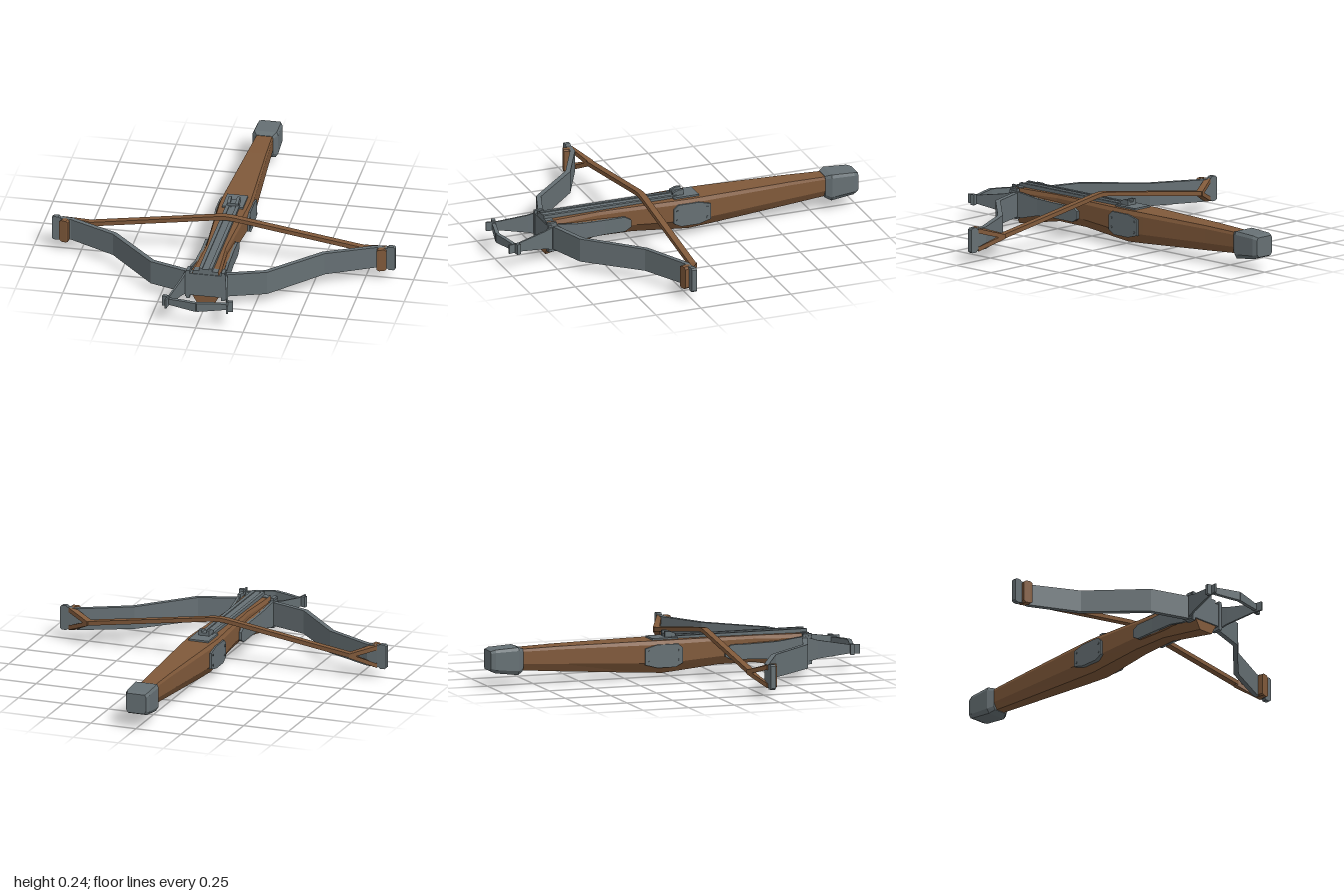
import * as THREE from 'three';

const steel = new THREE.MeshStandardMaterial({ color: 0x667074 });
steel.name = 'steel';
const wood = new THREE.MeshStandardMaterial({ color: 0x80593a });
wood.name = 'wood';

// Solid skinned over rings of equal point count, with closed ends and flat faces
function skin(rings) {
  const tris = [], n = rings[0].length, last = rings.length - 1;
  for (let i = 0; i < last; i++) {
    for (let j = 0; j < n; j++) {
      const k = (j + 1) % n;
      const a = rings[i][j], b = rings[i][k], c = rings[i + 1][k], d = rings[i + 1][j];
      tris.push([a, b, c], [a, c, d]);
    }
  }
  for (let j = 1; j < n - 1; j++) {
    tris.push([rings[0][0], rings[0][j + 1], rings[0][j]]);
    tris.push([rings[last][0], rings[last][j], rings[last][j + 1]]);
  }
  // Turn the faces outward whichever way the rings run
  const o = rings[0][0], v = new THREE.Vector3();
  let volume = 0;
  for (const [a, b, c] of tris) {
    const p = a.clone().sub(o), q = b.clone().sub(o), r = c.clone().sub(o);
    volume += p.dot(v.crossVectors(q, r));
  }
  const points = tris.flatMap(([a, b, c]) => (volume < 0 ? [a, c, b] : [a, b, c]));
  const geo = new THREE.BufferGeometry().setFromPoints(points);
  geo.computeVertexNormals();
  return geo;
}

// Upright strap following [x, z, yLow, yHigh] points, of a given thickness
function strap(path, thickness, side = 1) {
  const pts = path.map(([x, z]) => new THREE.Vector2(x * side, z));
  return skin(path.map(([, , lo, hi], i) => {
    const p = pts[i];
    const before = p.clone().sub(pts[Math.max(i - 1, 0)]).normalize();
    const after = pts[Math.min(i + 1, pts.length - 1)].clone().sub(p).normalize();
    const t = before.add(after).normalize();
    const nx = -t.y * thickness / 2, nz = t.x * thickness / 2;
    return [[1, lo], [1, hi], [-1, hi], [-1, lo]].map(([s, y]) =>
      new THREE.Vector3(p.x + s * nx, y, p.y + s * nz));
  }));
}

// Beam along z from [z, halfWidth, yLow, yHigh] sections with chamfered corners
function beam(sections, topCut, lowCut) {
  return skin(sections.map(([z, w, lo, hi]) => {
    const h = hi - lo, a = topCut, b = lowCut;
    return [
      [w * (1 - a), hi], [w, hi - h * a], [w, lo + h * b], [w * (1 - b * 1.4), lo],
      [-w * (1 - b * 1.4), lo], [-w, lo + h * b], [-w, hi - h * a], [-w * (1 - a), hi],
    ].map(([x, y]) => new THREE.Vector3(x, y, z));
  }));
}

// Flat side plate: [z, y] outline between two x positions
function sidePlate(outline, x0, x1) {
  return skin([x0, x1].map(x => outline.map(([z, y]) => new THREE.Vector3(x, y, z))));
}

export function createModel() {
  const model = new THREE.Group();
  model.name = 'crossbow';
  const add = (name, geo, mat) => {
    const mesh = new THREE.Mesh(geo, mat);
    mesh.name = name;
    model.add(mesh);
    return mesh;
  };
  const box = (name, mat, w, h, d, x, y, z) =>
    add(name, new THREE.BoxGeometry(w, h, d), mat).position.set(x, y, z);

  // Wooden stock, with a flared underside at the front
  add('stock', beam([
    [0.735, 0.075, 0.002, 0.195], [0.45, 0.058, 0.055, 0.198], [0.25, 0.07, 0.055, 0.2],
    [0, 0.085, 0.033, 0.202], [-0.06, 0.087, 0.028, 0.202], [-0.2, 0.08, 0.036, 0.202],
    [-0.62, 0.056, 0.064, 0.198], [-0.84, 0.045, 0.08, 0.192],
  ], 0.12, 0.32), wood);

  // Butt cap
  add('buttCap', beam([
    [-0.82, 0.047, 0.075, 0.195], [-0.85, 0.067, 0.06, 0.205],
    [-0.975, 0.065, 0.075, 0.198], [-1, 0.055, 0.086, 0.19],
  ], 0.12, 0.15), steel);

  // Bolt rail with a groove between two lips
  box('boltRail', steel, 0.07, 0.02, 0.76, 0, 0.2, 0.36);
  for (const s of [-1, 1]) box('railLip', steel, 0.018, 0.008, 0.74, s * 0.026, 0.211, 0.37);

  // Lock: base plate, nut and two ears
  box('lockPlate', steel, 0.11, 0.012, 0.14, 0, 0.205, -0.045);
  box('lockNut', steel, 0.028, 0.02, 0.05, 0, 0.215, -0.01);
  for (const s of [-1, 1]) {
    add('lockEar', sidePlate([[0.02, 0.208], [0.02, 0.228], [-0.01, 0.24], [-0.038, 0.24], [-0.038, 0.208]],
      s * 0.014, s * 0.03), steel);
  }

  // Front bracket that holds the bow
  box('bracketFace', steel, 0.17, 0.125, 0.02, 0, 0.118, 0.733);
  box('bracketTop', steel, 0.13, 0.018, 0.04, 0, 0.19, 0.72);

  for (const s of [-1, 1]) {
    // Bow limb and its tip
    add('bowLimb', strap([
      [0, 0.72, 0.06, 0.175], [0.1, 0.705, 0.052, 0.178], [0.3, 0.637, 0.052, 0.178], [0.55, 0.375, 0.058, 0.178],
      [0.8, 0.25, 0.06, 0.176], [0.88, 0.248, 0.06, 0.176],
    ], 0.026, s), steel);
    add('bowTip', strap([
      [0.855, 0.248, 0.065, 0.17], [0.87, 0.248, 0.052, 0.184],
      [0.895, 0.248, 0.052, 0.184], [0.905, 0.248, 0.06, 0.176],
    ], 0.026, s), steel);

    // String half, split into two strands that loop around the limb
    add('string', strap([
      [0, 0.186, 0.222, 0.244], [0.04, 0.186, 0.219, 0.241], [0.73, 0.186, 0.113, 0.136],
    ], 0.034, s), wood);
    for (const [lo, hi] of [[0.152, 0.176], [0.056, 0.08]]) {
      add('stringLoop', strap([
        [0.72, 0.18, 0.113, 0.136], [0.84, 0.238, lo, hi], [0.83, 0.272, lo, hi],
      ], 0.034, s), wood);
    }
    add('stringWrap', strap([
      [0.812, 0.278, 0.062, 0.17], [0.822, 0.277, 0.055, 0.177],
      [0.848, 0.27, 0.055, 0.177], [0.86, 0.267, 0.065, 0.167],
    ], 0.03, s), wood);

    // Long tapered cheek strap on the front of the stock
    add('cheekStrap', strap([
      [0.1, 0.742, 0.045, 0.19], [0.092, 0.66, 0.05, 0.18], [0.083, 0.56, 0.075, 0.165],
      [0.078, 0.42, 0.08, 0.16], [0.079, 0.31, 0.08, 0.16], [0.079, 0.275, 0.1, 0.14],
    ], 0.014, s), steel);
    add('cheekFiller', strap([
      [0.072, 0.72, 0.06, 0.175], [0.062, 0.55, 0.08, 0.165], [0.07, 0.3, 0.085, 0.155],
    ], 0.026, s), wood);
    box('bracketPost', steel, 0.018, 0.16, 0.05, s * 0.092, 0.118, 0.72);

    // Stirrup arm and half of the foot bar
    add('stirrupArm', strap([
      [0.108, 0.725, 0.055, 0.178], [0.117, 0.77, 0.068, 0.165],
      [0.152, 0.925, 0.092, 0.14], [0.163, 0.985, 0.092, 0.14],
    ], 0.01, s), steel);
    add('stirrupBar', strap([
      [0, 0.985, 0.093, 0.14], [0.06, 0.969, 0.095, 0.138], [0.15, 0.946, 0.1, 0.132],
      [0.16, 0.943, 0.088, 0.144], [0.184, 0.937, 0.088, 0.144],
    ], 0.02, s), steel);

    // Lock side plate with rivets
    add('lockSidePlate', sidePlate([
      [0.04, 0.083], [0.04, 0.16], [0.015, 0.183], [-0.1, 0.183],
      [-0.165, 0.165], [-0.165, 0.08], [-0.1, 0.062], [0, 0.062],
    ], s * 0.07, s * 0.093), steel);
    for (const [z, y] of [[0.02, 0.1], [0.02, 0.15], [-0.145, 0.095], [-0.145, 0.15]]) {
      const rivet = add('rivet', new THREE.CylinderGeometry(0.006, 0.006, 0.006, 8), steel);
      rivet.rotation.z = Math.PI / 2;
      rivet.position.set(s * 0.094, y, z);
    }
  }
  return model;
}
